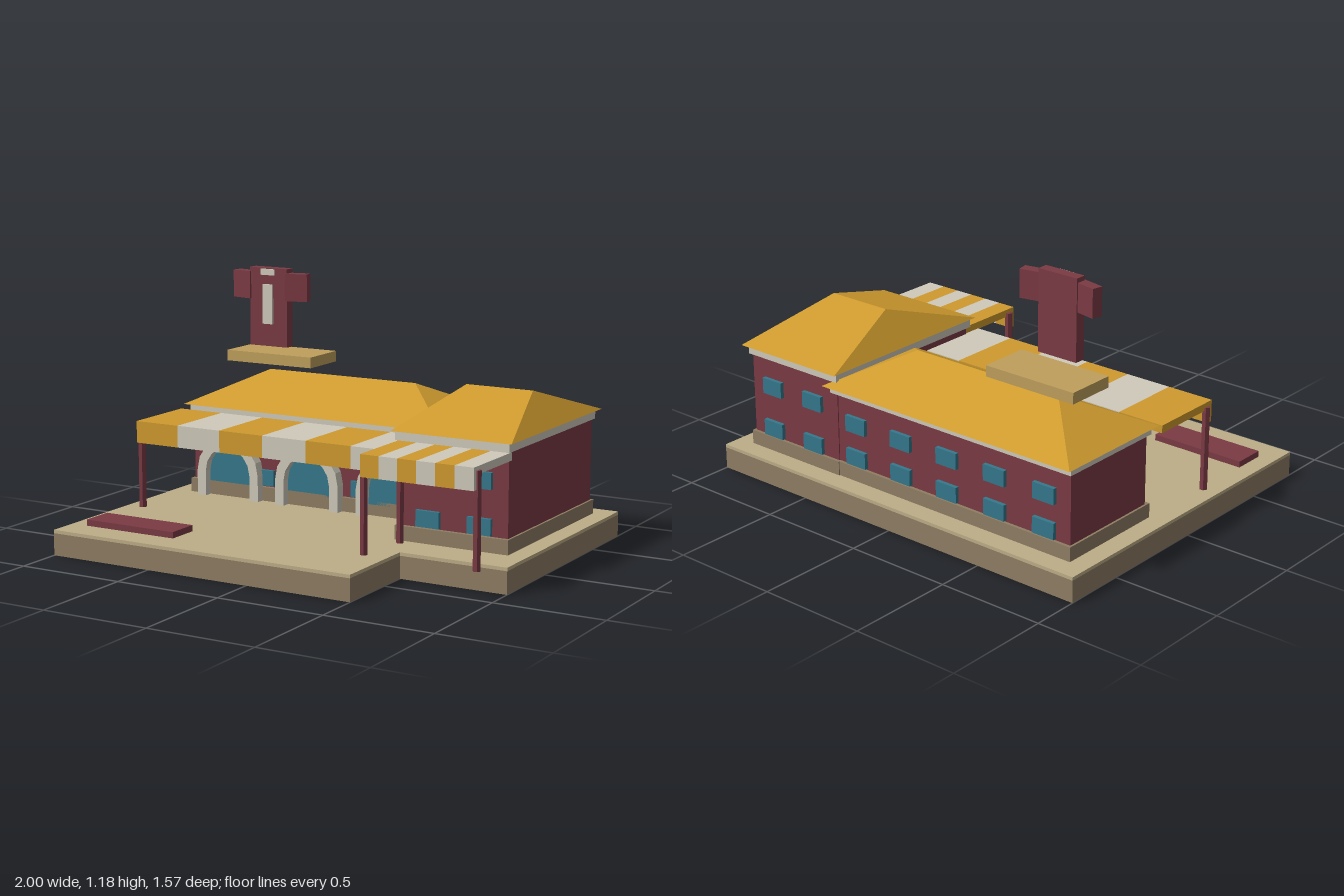
import * as THREE from 'three';
import { ConvexGeometry } from 'three/addons/geometries/ConvexGeometry.js';

const mat = (color) => new THREE.MeshStandardMaterial({ color, flatShading: true });
const RED = mat(0x7b3a44), GOLD = mat(0xcf9b2e), WHITE = mat(0xcfcabb), TEAL = mat(0x35788c);
const PAVING = mat(0xbdae88), STONE = mat(0x8f7d63), TAN = mat(0xbf9f5c);

function add(parent, name, geometry, material) {
  const mesh = new THREE.Mesh(geometry, material);
  mesh.name = name;
  parent.add(mesh);
  return mesh;
}

// Box given by its limits on each axis
function block(parent, name, material, x0, x1, y0, y1, z0, z1) {
  const mesh = add(parent, name, new THREE.BoxGeometry(x1 - x0, y1 - y0, z1 - z0), material);
  mesh.position.set((x0 + x1) / 2, (y0 + y1) / 2, (z0 + z1) / 2);
  return mesh;
}

// Hipped roof with its ridge running along x
function hipRoof(parent, name, x0, x1, z0, z1, eave, r0, r1, rz, top) {
  const points = [[x0, eave, z0], [x1, eave, z0], [x1, eave, z1], [x0, eave, z1], [r0, top, rz], [r1, top, rz]];
  add(parent, name, new ConvexGeometry(points.map((p) => new THREE.Vector3(...p))), GOLD);
}

// Plinth, walls, fascia and rows of windows on front and back
function building(name, x0, x1, z0, z1, wallTop, fasciaTop, columns, rows) {
  const g = new THREE.Group();
  g.name = name;
  block(g, 'plinth', STONE, x0 - 0.01, x1 + 0.01, 0.115, 0.18, z0 - 0.015, z1 + 0.02);
  block(g, 'walls', RED, x0, x1, 0.115, wallTop, z0, z1);
  block(g, 'fascia', WHITE, x0 - 0.01, x1 + 0.01, wallTop, fasciaTop, z0 - 0.015, z1 + 0.02);
  for (const x of columns) for (const y of rows) {
    block(g, 'backWindow', TEAL, x - 0.056, x + 0.056, y, y + 0.073, z0 - 0.018, z0 + 0.01);
    block(g, 'frontWindow', TEAL, x - 0.056, x + 0.056, y, y + 0.073, z1 - 0.01, z1 + 0.018);
  }
  return g;
}

// Flat striped awning with a hanging front valance
function awning(name, x0, x1, z0, z1, bottom, top) {
  const g = new THREE.Group();
  g.name = name;
  const w = (x1 - x0) / 6;
  for (let i = 0; i < 6; i++) {
    const a = x0 + i * w, m = i % 2 ? WHITE : GOLD;
    block(g, 'canopyStripe', m, a, a + w, top - 0.035, top, z0, z1 - 0.024);
    block(g, 'valanceStripe', m, a, a + w, bottom, top, z1 - 0.024, z1);
  }
  return g;
}

function pole(parent, x, z, top) {
  const mesh = add(parent, 'awningPole', new THREE.CylinderGeometry(0.018, 0.018, top - 0.115, 6), RED);
  mesh.rotation.y = Math.PI / 2;
  mesh.position.set(x, (top + 0.115) / 2, z);
}

// Round-headed outline, closed at the foot
function archPath(path, r, spring, foot) {
  path.moveTo(r, foot);
  path.lineTo(r, spring);
  path.absarc(0, spring, r, 0, Math.PI, false);
  path.lineTo(-r, foot);
  path.closePath();
  return path;
}

function archway(x) {
  const g = new THREE.Group();
  g.name = 'archway';
  g.position.set(x, 0.115, -0.165);
  // One outline runs up the outside and back down the inside
  const pts = [];
  const ro = 0.167, ri = 0.121, spring = 0.118, n = 8;
  pts.push([ro, 0]);
  for (let i = 0; i <= n; i++) {
    const a = (i / n) * Math.PI;
    pts.push([ro * Math.cos(a), spring + ro * Math.sin(a)]);
  }
  pts.push([-ro, 0], [-ri, 0]);
  for (let i = n; i >= 0; i--) {
    const a = (i / n) * Math.PI;
    pts.push([ri * Math.cos(a), spring + ri * Math.sin(a)]);
  }
  pts.push([ri, 0]);
  const frame = new THREE.Shape(pts.map((p) => new THREE.Vector2(...p)));
  add(g, 'archFrame', new THREE.ExtrudeGeometry(frame, { depth: 0.05, bevelEnabled: false }), WHITE);
  const pane = archPath(new THREE.Shape(), 0.125, spring, 0.05);
  const glass = add(g, 'archGlass', new THREE.ExtrudeGeometry(pane, { depth: 0.025, bevelEnabled: false, curveSegments: 8 }), TEAL);
  glass.position.z = -0.015;
  return g;
}

// L-shaped ground slab
function slab(parent, name, material, y0, y1) {
  const outline = [[-1, 0.785], [1, 0.785], [1, -0.365], [0.5, -0.365], [0.5, -0.785], [-1, -0.785]];
  const shape = new THREE.Shape(outline.map((p) => new THREE.Vector2(...p)));
  const mesh = add(parent, name, new THREE.ExtrudeGeometry(shape, { depth: y1 - y0, bevelEnabled: false }), material);
  mesh.rotation.x = -Math.PI / 2;
  mesh.position.y = y0;
}

export function createModel() {
  const model = new THREE.Group();
  model.name = 'awningBuilding';

  // Ground
  slab(model, 'groundBase', STONE, 0, 0.1);
  slab(model, 'paving', PAVING, 0.1, 0.115);
  block(model, 'entranceMat', RED, -0.92, -0.46, 0.115, 0.143, 0.5, 0.65);

  // Long main hall
  const hallColumns = [0, 1, 2, 3, 4].map((i) => -0.77 + i * 0.261);
  const hall = building('mainHall', -0.9, 0.41, -0.675, -0.175, 0.495, 0.535, hallColumns, [0.187, 0.342]);
  hipRoof(hall, 'hallRoof', -0.935, 0.43, -0.73, -0.135, 0.535, -0.636, 0.14, -0.43, 0.685);
  for (const x of [-0.68, -0.252, 0.175]) hall.add(archway(x));
  model.add(hall);

  // Taller side wing
  const wing = building('sideWing', 0.385, 0.905, -0.68, 0.165, 0.552, 0.594, [0.53, 0.775], [0.185, 0.385]);
  hipRoof(wing, 'wingRoof', 0.363, 0.935, -0.72, 0.207, 0.594, 0.49, 0.812, -0.255, 0.738);
  model.add(wing);

  // Awnings and their poles
  model.add(awning('hallAwning', -0.925, 0.42, -0.1, 0.257, 0.42, 0.52));
  model.add(awning('wingAwning', 0.39, 0.917, 0.165, 0.513, 0.455, 0.552));
  pole(model, -0.923, 0.22, 0.5);
  pole(model, 0.42, 0.22, 0.5);
  pole(model, 0.387, 0.475, 0.535);
  pole(model, 0.915, 0.475, 0.535);

  // Rooftop robe-shaped sign above its platform
  block(model, 'signPlatform', TAN, -0.805, -0.347, 0.728, 0.778, -0.547, -0.316);
  const sign = new THREE.Group();
  sign.name = 'robeSign';
  sign.position.set(-0.572, 0, -0.337);
  block(sign, 'robeBody', RED, -0.1, 0.1, 0.815, 1.18, -0.025, 0.025);
  block(sign, 'robeCollar', WHITE, -0.037, 0.037, 1.148, 1.176, 0.02, 0.035);
  block(sign, 'robePanel', WHITE, -0.026, 0.026, 0.92, 1.105, 0.02, 0.037);
  for (const s of [-1, 1]) {
    const sleeve = block(sign, 'robeSleeve', RED, -0.053, 0.053, 1.033, 1.16, -0.025, 0.025);
    sleeve.position.x = s * 0.143;
    sleeve.position.z = -0.002;
    sleeve.rotation.y = s * 0.2;
  }
  model.add(sign);
  return model;
}
